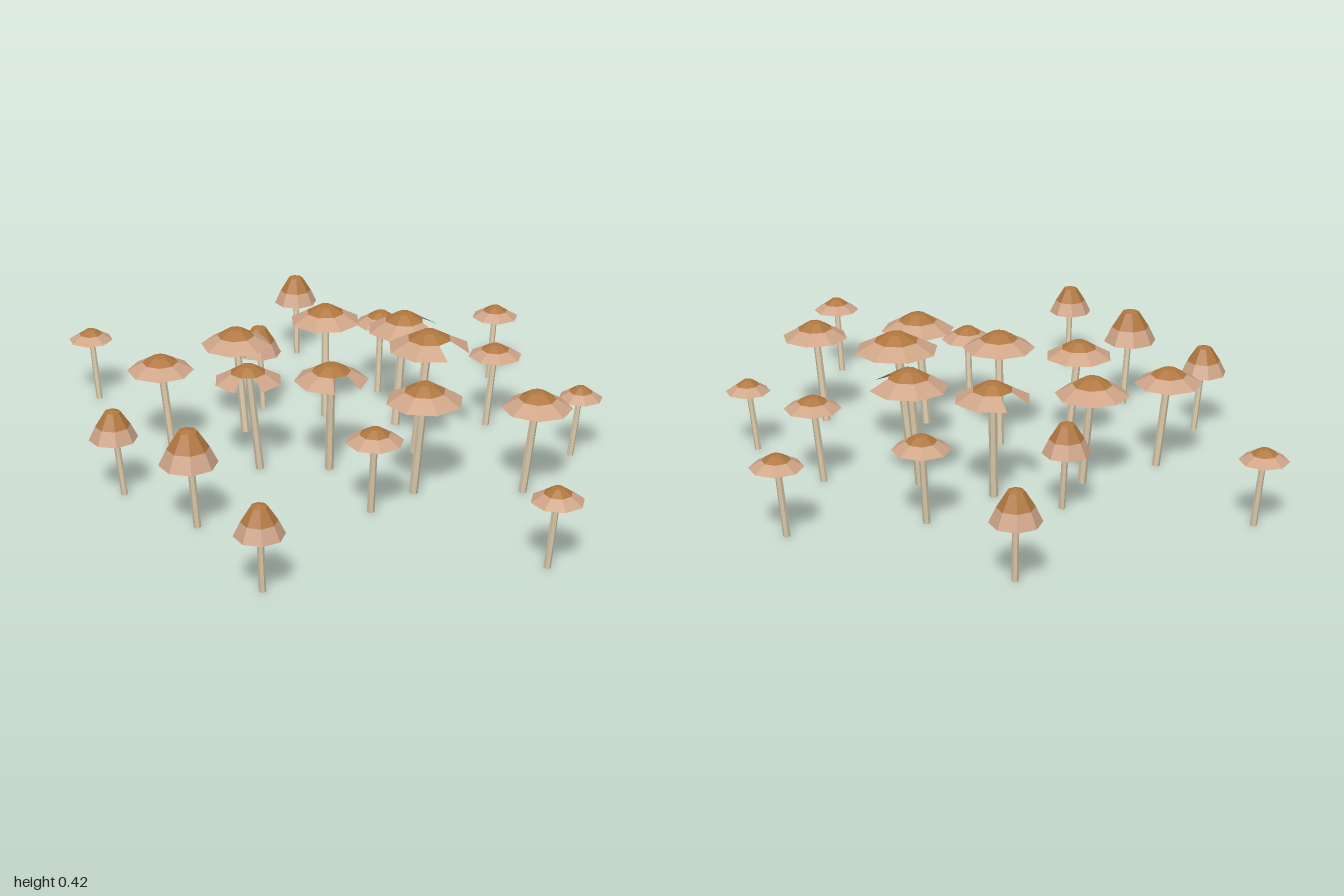
import * as THREE from 'three';

const crownMat = new THREE.MeshStandardMaterial({ color: 0xb0773f, flatShading: true, side: THREE.DoubleSide });
crownMat.name = 'capBrown';
const rimMat = new THREE.MeshStandardMaterial({ color: 0xcfa588, flatShading: true, side: THREE.DoubleSide });
rimMat.name = 'rimTan';
const stemMat = new THREE.MeshStandardMaterial({ color: 0xdccbac, flatShading: true });
stemMat.name = 'stemCream';

// Cap profiles as [radius, height] fractions; the rim starts where the crown ends
const PROFILES = {
  flat: { crown: [[0.53, 0.55], [0.22, 0.94], [0, 1]], rim: [[1, 0], [0.53, 0.55]] },
  bell: { crown: [[0.72, 0.45], [0.33, 0.92], [0, 1]], rim: [[1, 0], [0.72, 0.45]] },
};

// x, z, cap radius, rim height, top height, kind, turn in degrees, broken segment?
const MUSHROOMS = [
  [-0.51, -0.755, 0.075, 0.19, 0.29, 'bell', 10],
  [0.22, -0.865, 0.08, 0.225, 0.265, 'flat', 10],
  [-0.085, -0.58, 0.088, 0.245, 0.29, 'flat', 10],
  [0.375, -0.49, 0.088, 0.245, 0.285, 'flat', 10],
  [0.71, -0.39, 0.071, 0.2, 0.24, 'flat', 12],
  [-0.165, -0.32, 0.118, 0.33, 0.385, 'flat', 172, true],
  [0.1, -0.37, 0.122, 0.33, 0.39, 'flat', -47, true],
  [0.27, -0.19, 0.133, 0.362, 0.42, 'flat', -5, true],
  [-0.39, -0.27, 0.074, 0.19, 0.288, 'bell', 10],
  [-0.36, -0.065, 0.114, 0.3, 0.357, 'flat', 22],
  [0.685, -0.065, 0.108, 0.29, 0.345, 'flat', 22],
  [-0.93, -0.065, 0.074, 0.212, 0.25, 'flat', 22],
  [0.07, 0.095, 0.116, 0.32, 0.375, 'flat', 13, true],
  [0.39, 0.105, 0.12, 0.32, 0.378, 'flat', 3],
  [-0.17, 0.19, 0.108, 0.308, 0.36, 'flat', 38, true],
  [-0.49, 0.19, 0.106, 0.28, 0.33, 'flat', 15],
  [0.315, 0.29, 0.088, 0.245, 0.29, 'flat', 8],
  [0.915, 0.36, 0.078, 0.222, 0.265, 'flat', 8],
  [-0.445, 0.535, 0.075, 0.195, 0.29, 'bell', 5],
  [-0.125, 0.625, 0.088, 0.22, 0.332, 'bell', 8],
  [0.245, 0.865, 0.073, 0.19, 0.285, 'bell', 10],
];

const SIDES = 8;
const STEP = (Math.PI * 2) / SIDES;

function lathe(profile, radius, height, start, segments, material, name) {
  const points = profile.map(([r, h]) => new THREE.Vector2(r * radius, h * height));
  const geometry = new THREE.LatheGeometry(points, segments, start, segments * STEP);
  const mesh = new THREE.Mesh(geometry, material);
  mesh.name = name;
  return mesh;
}

function makeStem(bottom, top, radius) {
  const axis = top.clone().sub(bottom);
  const mesh = new THREE.Mesh(new THREE.CylinderGeometry(radius * 0.9, radius, axis.length(), 6), stemMat);
  mesh.position.copy(bottom).add(top).multiplyScalar(0.5);
  mesh.quaternion.setFromUnitVectors(new THREE.Vector3(0, 1, 0), axis.normalize());
  mesh.name = 'stem';
  return mesh;
}

function makeMushroom([x, z, radius, rimY, topY, kind, turn, broken]) {
  const group = new THREE.Group();
  group.name = kind + 'Mushroom';
  const height = topY - rimY;
  const start = Math.PI / 2 - THREE.MathUtils.degToRad(turn);

  // Cap: a brown crown above a paler rim, some rims missing one segment
  const cap = new THREE.Group();
  cap.name = 'cap';
  cap.position.set(x, rimY, z);
  cap.add(lathe(PROFILES[kind].crown, radius, height, start, SIDES, crownMat, 'crown'));
  cap.add(lathe(PROFILES[kind].rim, radius, height, start, broken ? SIDES - 1 : SIDES, rimMat, 'rim'));
  group.add(cap);

  // Stem leans outward from the middle of the cluster
  const stemTop = rimY + height * 0.75;
  const lean = (0.1 * stemTop) / Math.hypot(x, z);
  const bottom = new THREE.Vector3(x * (1 - lean), 0, z * (1 - lean));
  group.add(makeStem(bottom, new THREE.Vector3(x, stemTop, z), 0.005 + radius * 0.075));
  return group;
}

export function createModel() {
  const model = new THREE.Group();
  model.name = 'mushroomCluster';
  for (const spec of MUSHROOMS) model.add(makeMushroom(spec));
  return model;
}
